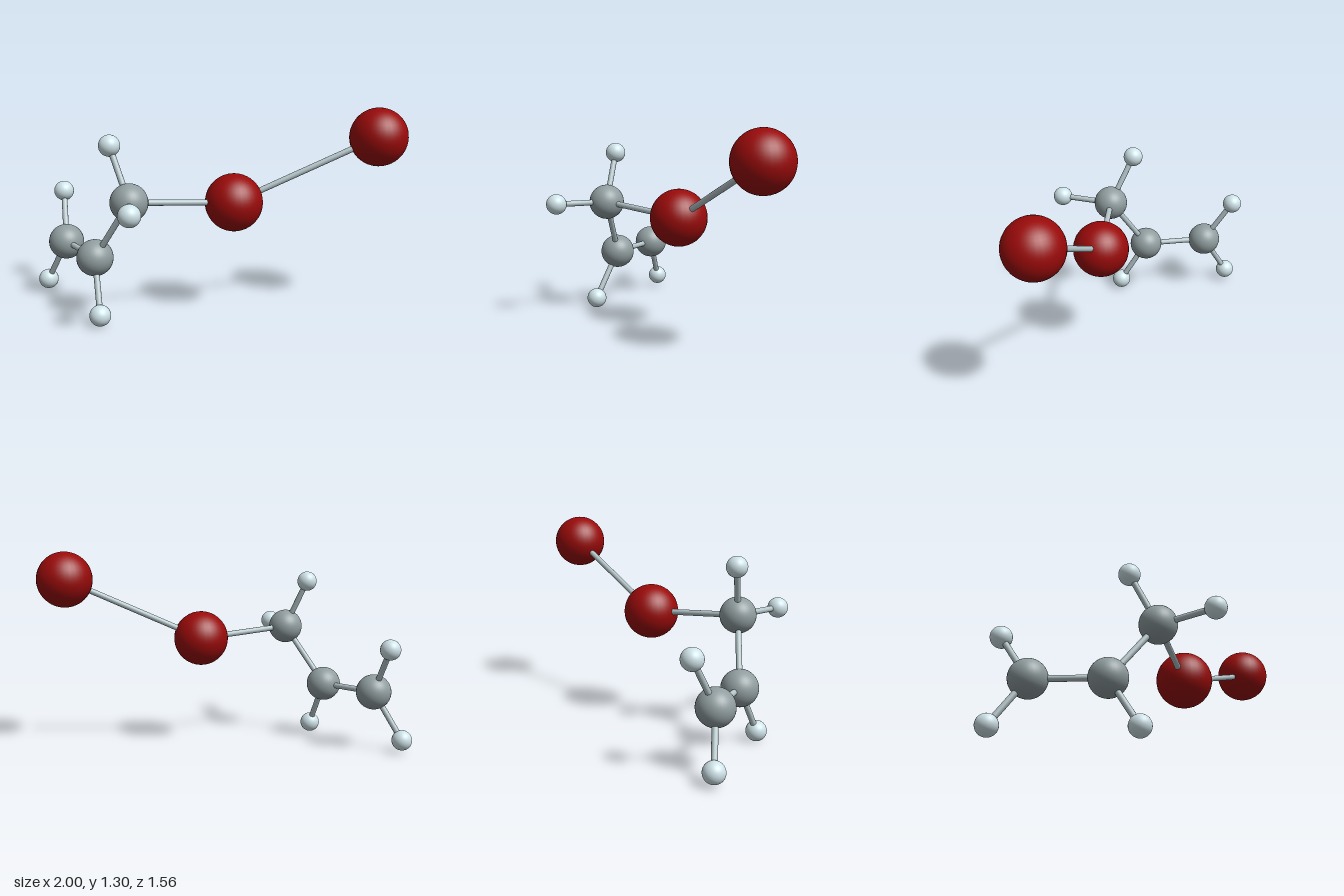
import * as THREE from 'three';

// Atom kinds: radius and colour
const KINDS = {
  heavy: { radius: 0.18, color: 0x990a0a },
  carbon: { radius: 0.115, color: 0x909d9f },
  hydrogen: { radius: 0.066, color: 0xcfe3e8 },
};

// Atom centres
const ATOMS = {
  heavyInner: ['heavy', 0.0, 0.72, 0.25],
  heavyOuter: ['heavy', 0.82, 1.12, 0.598],
  carbonFront: ['carbon', -0.662, 0.768, 0.18],
  carbonMiddle: ['carbon', -0.8, 0.38, -0.079],
  carbonBack: ['carbon', -0.853, 0.384, -0.52],
  hydrogenFrontTop: ['hydrogen', -0.72, 1.09, 0.018],
  hydrogenFrontSide: ['hydrogen', -0.788, 0.775, 0.525],
  hydrogenMiddle: ['hydrogen', -0.837, 0.067, 0.106],
  hydrogenBackTop: ['hydrogen', -0.803, 0.688, -0.712],
  hydrogenBackBottom: ['hydrogen', -0.938, 0.084, -0.702],
};

const BONDS = [
  ['heavyInner', 'heavyOuter'],
  ['heavyInner', 'carbonFront'],
  ['carbonFront', 'carbonMiddle'],
  ['carbonMiddle', 'carbonBack'],
  ['carbonFront', 'hydrogenFrontTop'],
  ['carbonFront', 'hydrogenFrontSide'],
  ['carbonMiddle', 'hydrogenMiddle'],
  ['carbonBack', 'hydrogenBackTop'],
  ['carbonBack', 'hydrogenBackBottom'],
];

const BOND_RADIUS = 0.019;

export function createModel() {
  const model = new THREE.Group();
  model.name = 'molecule';

  // Atoms: one shared sphere and material per kind
  const shared = {};
  for (const [kind, { radius, color }] of Object.entries(KINDS)) {
    shared[kind] = {
      geometry: new THREE.SphereGeometry(radius, 32, 24),
      material: new THREE.MeshStandardMaterial({ color }),
    };
  }
  const centres = {};
  for (const [name, [kind, x, y, z]] of Object.entries(ATOMS)) {
    const atom = new THREE.Mesh(shared[kind].geometry, shared[kind].material);
    atom.name = name;
    atom.position.set(x, y, z);
    centres[name] = atom.position;
    model.add(atom);
  }

  // Bonds: thin rods from centre to centre
  const bondMaterial = new THREE.MeshStandardMaterial({ color: 0xb4c5c9 });
  const up = new THREE.Vector3(0, 1, 0);
  for (const [from, to] of BONDS) {
    const a = centres[from];
    const b = centres[to];
    const rod = new THREE.Mesh(
      new THREE.CylinderGeometry(BOND_RADIUS, BOND_RADIUS, a.distanceTo(b), 16),
      bondMaterial,
    );
    rod.name = `bond ${from} to ${to}`;
    rod.position.lerpVectors(a, b, 0.5);
    rod.quaternion.setFromUnitVectors(up, b.clone().sub(a).normalize());
    model.add(rod);
  }
  return model;
}
